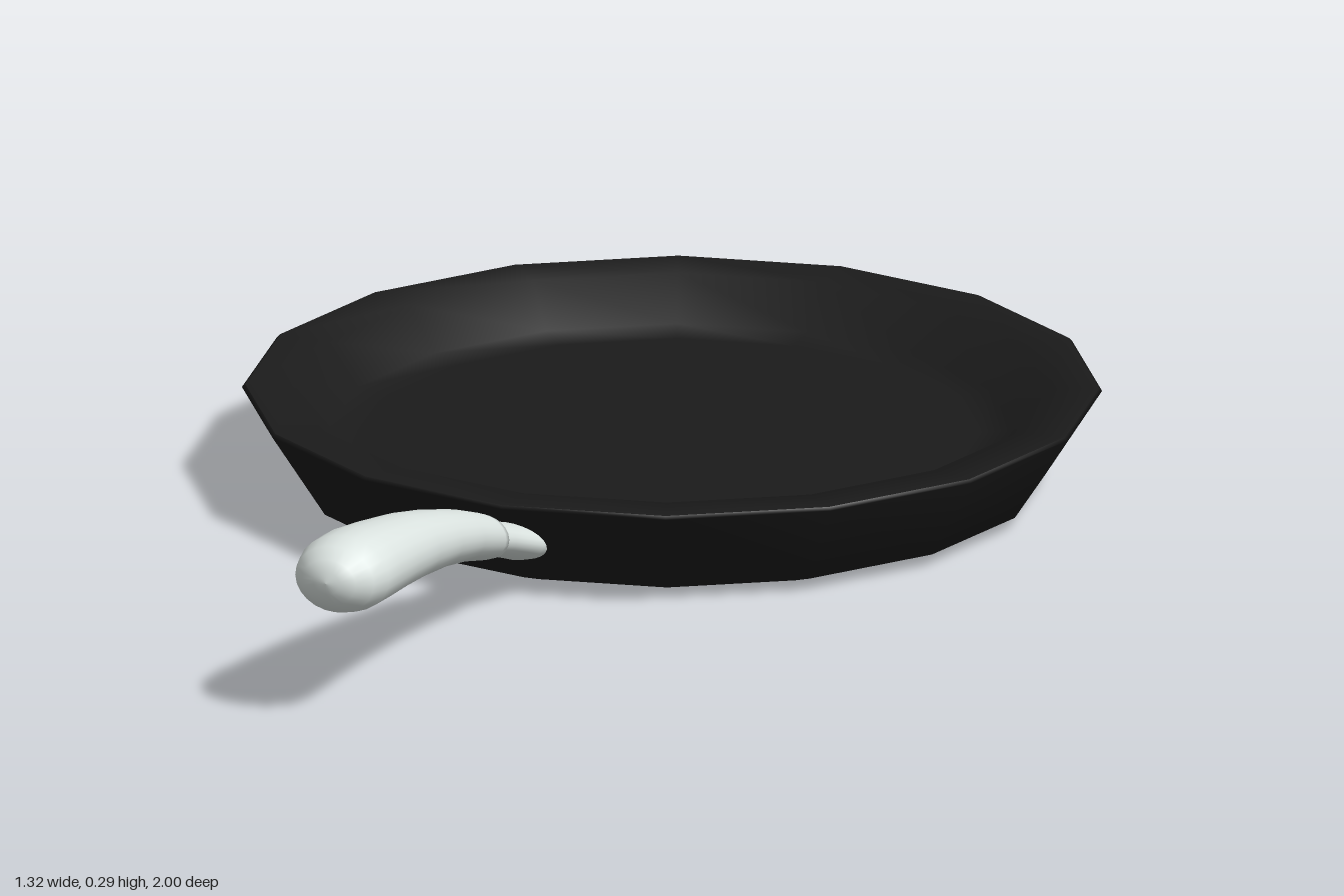
import * as THREE from 'three';

const SIDES = 16;

// Open surface of revolution from [radius, height] pairs
function lathe(name, profile, material) {
  const points = profile.map(([r, y]) => new THREE.Vector2(r, y));
  const mesh = new THREE.Mesh(new THREE.LatheGeometry(points, SIDES), material);
  mesh.name = name;
  return mesh;
}

// Smooth loft through upright ellipses given as [z, centreY, radiusX, radiusY]
function loft(name, sections, material, n = 24) {
  const position = [], index = [];
  sections.forEach(([z, y, rx, ry], i) => {
    for (let j = 0; j < n; j++) {
      const a = (j / n) * Math.PI * 2;
      position.push(rx * Math.cos(a), y + ry * Math.sin(a), z);
      if (i === sections.length - 1) continue;
      const p = i * n + j, q = i * n + ((j + 1) % n);
      index.push(p, q, p + n, q, q + n, p + n);
    }
  });
  const geometry = new THREE.BufferGeometry();
  geometry.setAttribute('position', new THREE.Float32BufferAttribute(position, 3));
  geometry.setIndex(index);
  geometry.computeVertexNormals();
  const mesh = new THREE.Mesh(geometry, material);
  mesh.name = name;
  return mesh;
}

export function createModel() {
  const castIron = new THREE.MeshStandardMaterial({ color: 0x1b1b1b });
  castIron.name = 'castIron';
  const paleMetal = new THREE.MeshStandardMaterial({ color: 0xdde5e2 });
  paleMetal.name = 'paleMetal';

  const model = new THREE.Group();
  model.name = 'fryingPan';

  // Sixteen-sided pan: outside, then lip and hollow in one smooth surface
  const pan = new THREE.Group();
  pan.name = 'pan';
  pan.position.z = -0.34;
  pan.add(
    lathe('panOutside', [[0, 0], [0.515, 0], [0.573, 0.02], [0.66, 0.155], [0.655, 0.16]], castIron),
    lathe('panHollow', [[0.655, 0.16], [0.578, 0.157], [0.525, 0.092], [0.47, 0.086], [0, 0.086]], castIron)
  );
  model.add(pan);

  // Handle: flared neck rooted in the wall, and a curved swelling grip
  const handle = new THREE.Group();
  handle.name = 'handle';
  handle.add(
    loft('handleNeck', [
      [0.23, 0.078, 0.053, 0.028], [0.28, 0.092, 0.052, 0.03], [0.32, 0.106, 0.047, 0.029],
      [0.36, 0.12, 0.043, 0.029], [0.41, 0.137, 0.042, 0.029],
    ], paleMetal),
    loft('handleGrip', [
      [0.39, 0.132, 0, 0], [0.391, 0.132, 0.044, 0.036], [0.41, 0.138, 0.047, 0.038],
      [0.5, 0.166, 0.052, 0.042], [0.6, 0.19, 0.058, 0.047], [0.7, 0.208, 0.064, 0.053],
      [0.8, 0.221, 0.071, 0.058], [0.88, 0.229, 0.076, 0.062], [0.93, 0.231, 0.076, 0.061],
      [0.965, 0.232, 0.066, 0.053], [0.988, 0.234, 0.045, 0.036], [0.997, 0.235, 0.022, 0.018],
      [1, 0.235, 0, 0],
    ], paleMetal)
  );
  model.add(handle);

  return model;
}
